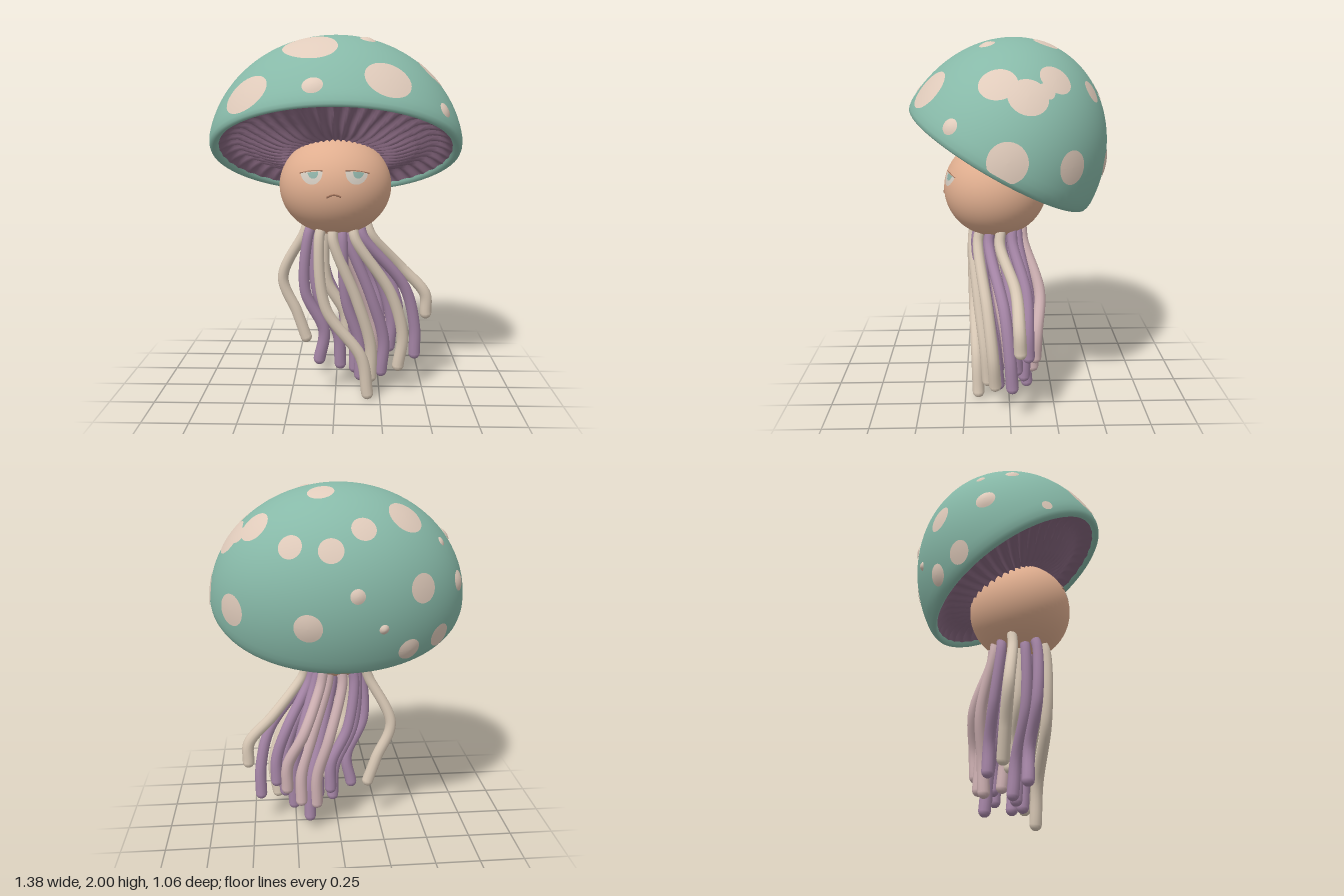
import * as THREE from 'three';
import { mergeGeometries } from 'three/addons/utils/BufferGeometryUtils.js';

const mat = (name, color, side = THREE.FrontSide) => {
  const m = new THREE.MeshStandardMaterial({ color, side });
  m.name = name;
  return m;
};
const V = (x, y, z) => new THREE.Vector3(x, y, z);

export function createModel() {
  const capGreen = mat('cap green', 0x87b9a8), spotCream = mat('spot cream', 0xe0cbbb);
  const gillPurple = mat('gill purple', 0x86677f, THREE.DoubleSide);
  const purple = mat('tentacle purple', 0xa686a7), cream = mat('tentacle cream', 0xd9c9b6);
  const pink = mat('tentacle pink', 0xd0b2b4), skin = mat('skin', 0xe0ae8f);
  const eyeGrey = mat('eye grey', 0xd2cabf), iris = mat('iris teal', 0x8db0a6);
  const crease = mat('crease brown', 0xa2745c);

  const model = new THREE.Group();
  model.name = 'mushroomJellyfish';
  const add = (parent, name, geo, material) => {
    const m = new THREE.Mesh(geo, material);
    m.name = name;
    parent.add(m);
  };

  // Cap: a tilted half ellipsoid with a rolled rim
  const S = V(0.69, 0.65, 0.555);
  const cap = new THREE.Group();
  cap.name = 'cap';
  cap.position.set(0, 1.37, 0.05);
  cap.rotation.x = -0.513;
  cap.updateMatrixWorld(true);
  model.add(cap);
  const profile = [[0.91, 0.04], [0.925, 0.005], [0.942, -0.014], [0.963, -0.02], [0.982, -0.008], [0.993, 0.02]];
  for (let i = 0; i <= 28; i++) {
    const a = 0.07 + (i / 28) * (Math.PI / 2 - 0.07);
    profile.push([Math.cos(a), Math.sin(a)]);
  }
  const dome = new THREE.LatheGeometry(profile.map(([r, h]) => new THREE.Vector2(Math.max(r, 0), h)), 96);
  dome.scale(S.x, S.y, S.z);
  add(cap, 'capDome', dome, capGreen);

  // Gills: a shallow ring trough with radial pleats, dipping where it meets the head
  const dish = new THREE.SplineCurve([[0.02, 0.02], [0.3, -0.005], [0.45, -0.01], [0.62, 0.02], [0.8, 0.055], [0.93, 0.005]]
    .map(([r, h]) => new THREE.Vector2(r, h))).getPoints(18);
  const gills = new THREE.LatheGeometry(dish, 320);
  const gp = gills.attributes.position;
  for (let i = 0; i < gp.count; i++) {
    const x = gp.getX(i), z = gp.getZ(i), r = Math.hypot(x, z);
    const fade = Math.min(1, Math.max(0, (0.93 - r) / 0.1));
    const pleat = Math.abs(Math.sin(Math.atan2(z, x) * 20 + Math.sin(r * 9) * 0.4)) - 0.5;
    gp.setXYZ(i, x * S.x, gp.getY(i) + 0.035 * pleat * fade * Math.min(1, r * 2), z * S.z);
  }
  gills.computeVertexNormals();
  add(cap, 'gills', gills, gillPurple);

  // Spots: discs laid on the dome, placed by casting a ray along an axis
  const inv = cap.matrixWorld.clone().invert();
  const q = Math.SQRT1_2, ce = Math.cos(0.35), se = Math.sin(0.35);
  const axes = {
    top: [V(1, 0, 0), V(0, 0, 1), V(0, 1, 0)],
    front: [V(1, 0, 0), V(0, 1, 0), V(0, 0, 1)],
    left: [V(0, 0, 1), V(0, 1, 0), V(1, 0, 0)],
    right: [V(0, 0, 1), V(0, 1, 0), V(-1, 0, 0)],
    back: [V(-q, 0, q), V(q * se, ce, q * se), V(-q * ce, se, -q * ce)],
  };
  function spot(axis, a, b, radius, bump = 0, stretch = 1, turn = 0) {
    const [u, v, w] = axes[axis];
    const o = V(0, 0, 0).addScaledVector(u, a).addScaledVector(v, b).addScaledVector(w, 3).applyMatrix4(inv).divide(S);
    const d = w.clone().negate().transformDirection(inv).divide(S);
    const A = d.dot(d), B = o.dot(d), C = o.dot(o) - 1;
    const hit = o.addScaledVector(d, (-B - Math.sqrt(Math.max(0, B * B - A * C))) / A).normalize();
    const normal = hit.clone().divide(S).normalize();
    const centre = hit.clone().multiply(S);
    const tx = V(1, 0, 0).addScaledVector(normal, -normal.x).normalize().applyAxisAngle(normal, turn);
    const ty = normal.clone().cross(tx);
    const geo = new THREE.RingGeometry(0.001, 1, 32, 5), p = geo.attributes.position;
    for (let i = 0; i < p.count; i++) {
      const x = p.getX(i), y = p.getY(i);
      const k = centre.clone().addScaledVector(tx, x * radius).addScaledVector(ty, y * radius * stretch);
      k.divide(S).normalize().multiply(S).multiplyScalar(1.004);
      k.addScaledVector(normal, bump * (1 - x * x - y * y));
      p.setXYZ(i, k.x, Math.max(k.y, 0.01), k.z);
    }
    geo.computeVertexNormals();
    add(cap, 'spot', geo, spotCream);
  }
  // large front and crown spots
  spot('top', -0.13, 0.22, 0.17, 0, 0.76, -0.8);
  spot('front', -0.445, 1.68, 0.135, 0, 0.8);
  spot('front', 0.27, 1.75, 0.125, 0, 0.9);
  spot('front', -0.1, 1.72, 0.052, 0.01, 0.9);
  spot('front', 0.56, 1.6, 0.04, 0.008);
  spot('top', 0.17, 0.11, 0.042, 0.01);
  spot('top', -0.31, -0.275, 0.095);
  spot('top', -0.09, -0.405, 0.062);
  spot('top', 0.07, -0.465, 0.062);
  spot('top', 0.26, -0.41, 0.06);
  spot('top', 0.1, -0.19, 0.068);
  spot('top', 0.43, -0.215, 0.085);
  // merged cluster and side spots
  spot('left', 0.06, 1.79, 0.095);
  spot('left', -0.08, 1.735, 0.1);
  spot('left', -0.165, 1.755, 0.045);
  spot('left', 0.02, 1.45, 0.098);
  spot('left', -0.29, 1.405, 0.083);
  spot('right', 0.1, 1.46, 0.028);
  // back spots
  spot('back', -0.03, 1.24, 0.074);
  spot('back', -0.335, 1.285, 0.037, 0.008);
  spot('back', -0.485, 1.2, 0.072, 0.006);
  spot('back', -0.225, 1.1, 0.025, 0.012);
  spot('back', -0.07, 0.965, 0.06, 0.008);
  spot('back', 0.12, 0.985, 0.064);
  spot('back', 0.285, 1.225, 0.054, 0.012);
  spot('back', 0.355, 1.475, 0.036, 0.008);
  spot('back', 0.2, 1.44, 0.024, 0.006);

  // Head
  const head = new THREE.Group();
  head.name = 'head';
  model.add(head);
  const H = V(0.305, 0.27, 0.285), HC = V(0, 1.193, 0.07);
  const ball = new THREE.SphereGeometry(1, 64, 40);
  ball.scale(H.x, H.y, H.z).translate(HC.x, HC.y, HC.z);
  add(head, 'headBall', ball, skin);
  const onFace = (x, y, lift) =>
    V(x, y, HC.z + lift + H.z * Math.sqrt(1 - (x / H.x) ** 2 - ((y - HC.y) / H.y) ** 2));

  // Face parts hug the head surface
  function patch(name, material, cx, cy, rx, ry, tilt, lift, start = Math.PI) {
    const geo = new THREE.RingGeometry(0.001, 1, 24, 5, start, Math.PI), p = geo.attributes.position;
    for (let i = 0; i < p.count; i++) {
      const x = p.getX(i) * rx, y = p.getY(i) * ry;
      const k = onFace(cx + x * Math.cos(tilt) - y * Math.sin(tilt), cy + x * Math.sin(tilt) + y * Math.cos(tilt), lift);
      p.setXYZ(i, k.x, k.y, k.z);
    }
    geo.computeVertexNormals();
    add(head, name, geo, material);
  }
  function faceLine(name, pts, r, lift) {
    const curve = new THREE.CatmullRomCurve3(pts.map(([x, y]) => onFace(x, y, lift)));
    add(head, name, new THREE.TubeGeometry(curve, 20, r, 8), crease);
  }
  for (const s of [-1, 1]) {
    const cx = 0.117 * s, tilt = -0.12 * s;
    patch('eyeWhite', eyeGrey, cx, 1.29, 0.058, 0.064, tilt, 0.002);
    patch('iris', iris, cx + 0.008, 1.289, 0.028, 0.033, tilt, 0.004);
    patch('eyelid', skin, cx, 1.29, 0.062, 0.03, tilt, 0.004, 0);
    faceLine('lidLine', [[cx - 0.06 * s, 1.297], [cx, 1.294], [cx + 0.062 * s, 1.28]], 0.004, 0.001);
  }
  faceLine('mouth', [[-0.038, 1.162], [-0.012, 1.174], [0.012, 1.174], [0.036, 1.164]], 0.005, -0.001);

  // Tentacles: root x,z; middle x,z; tip x,z; tip height; bend of the lower part
  const tentacles = new THREE.Group();
  tentacles.name = 'tentacles';
  model.add(tentacles);
  function tentacle(material, [x0, z0, xm, zm, x1, z1, yEnd, bend = 0.95]) {
    const r = 0.034, y1 = yEnd + r, ym = 0.94 - (0.94 - y1) * 0.45;
    const curve = new THREE.CatmullRomCurve3([
      V(x0 * 0.85, 0.985, z0 * 0.9), V(x0, 0.91, z0), V(xm, ym, zm),
      V(xm + (x1 - xm) * bend, y1 + (ym - y1) * 0.42, zm + (z1 - zm) * 0.7), V(x1, y1, z1)]);
    const tube = new THREE.TubeGeometry(curve, 40, r, 12), p = tube.attributes.position;
    // slimmer towards the root
    for (let i = 0; i < p.count; i++) {
      const t = Math.floor(i / 13) / 40, c = curve.getPointAt(t);
      const k = V(0, 0, 0).fromBufferAttribute(p, i).sub(c).multiplyScalar(0.82 + 0.18 * t).add(c);
      p.setXYZ(i, k.x, k.y, k.z);
    }
    const tip = new THREE.SphereGeometry(r, 12, 8).translate(x1, y1, z1);
    add(tentacles, 'tentacle', mergeGeometries([tube, tip]), material);
  }
  [
    [-0.18, 0.0, -0.305, -0.04, -0.175, -0.05, 0.25, 0.6],
    [-0.085, 0.2, -0.05, 0.2, 0.18, 0.175, 0.0, 0.85],
    [-0.01, 0.2, 0.12, 0.17, 0.2, 0.12, 0.08],
    [0.11, 0.17, 0.31, 0.12, 0.355, 0.08, 0.13, 1.5],
    [0.2, 0.05, 0.37, -0.03, 0.52, -0.05, 0.4],
    [-0.06, 0.06, -0.05, 0.05, 0.06, 0.02, 0.27],
  ].forEach(t => tentacle(cream, t));
  [
    [-0.15, 0.14, -0.165, 0.13, -0.09, 0.09, 0.17, 1.35],
    [-0.12, 0.08, -0.1, 0.08, 0.027, 0.03, 0.12, 0.9],
    [0.04, 0.18, 0.06, 0.15, 0.14, 0.1, 0.08],
    [0.07, 0.15, 0.2, 0.12, 0.26, 0.06, 0.09, 1.2],
    [0.155, 0.11, 0.39, 0.03, 0.455, -0.01, 0.17],
    [0.12, 0.04, 0.26, -0.01, 0.31, -0.04, 0.2, 1.2],
    [0.03, 0.0, 0.1, -0.04, 0.17, -0.1, 0.06],
    [0.16, -0.02, 0.29, -0.09, 0.36, -0.1, 0.3],
    [-0.09, -0.05, -0.05, -0.08, 0.05, -0.1, 0.24],
    [0.0, 0.12, 0.08, 0.1, 0.11, 0.06, 0.11],
    [0.13, -0.05, 0.22, -0.11, 0.26, -0.08, 0.14],
  ].forEach(t => tentacle(purple, t));
  [
    [0.1, -0.08, 0.2, -0.165, 0.3, -0.14, 0.27],
    [-0.02, -0.08, 0.06, -0.14, 0.13, -0.11, 0.15],
    [0.04, 0.1, 0.15, 0.06, 0.22, 0.0, 0.2],
    [0.06, -0.06, 0.15, -0.1, 0.22, -0.13, 0.18],
  ].forEach(t => tentacle(pink, t));

  return model;
}
